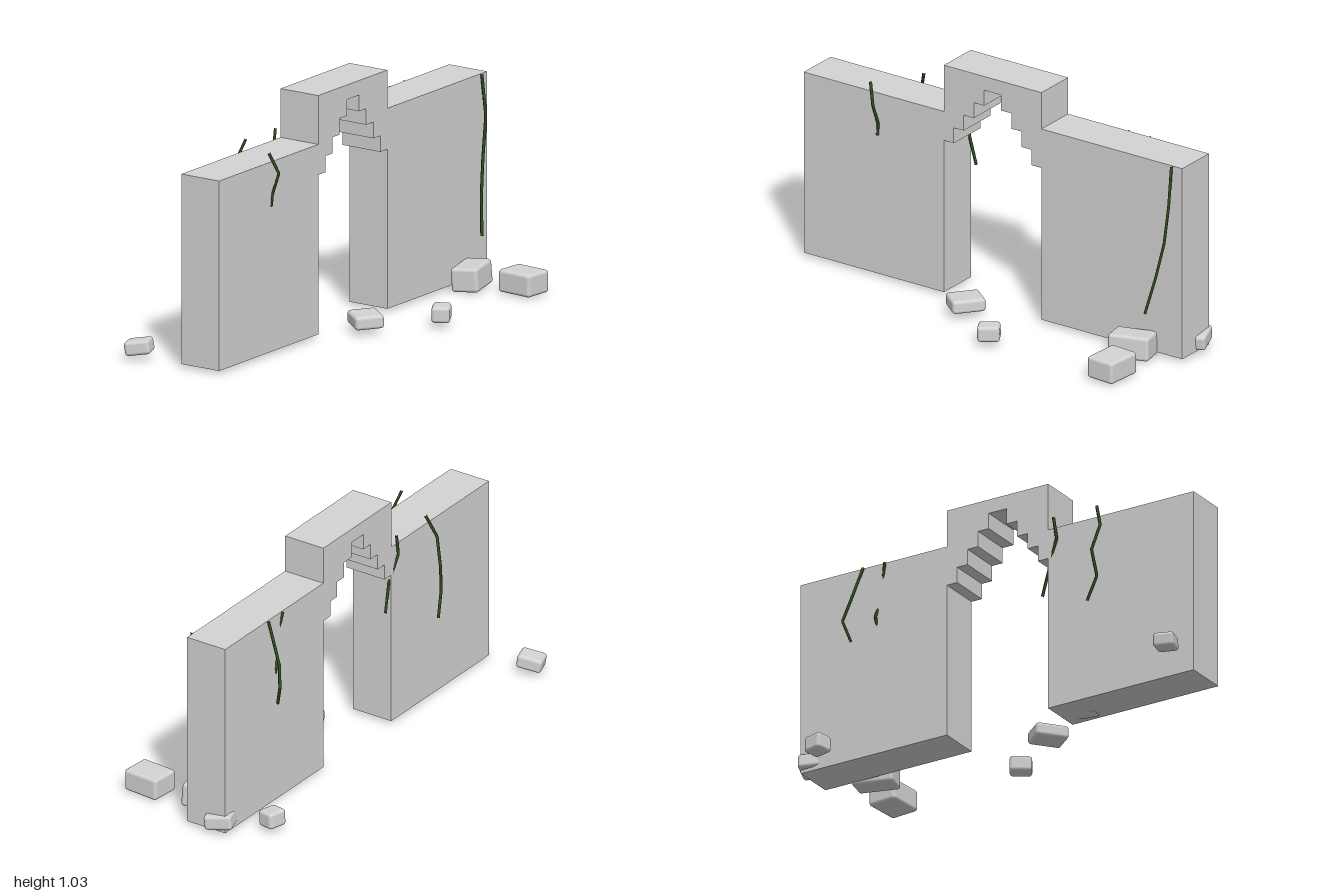
import * as THREE from 'three';
import { RoundedBoxGeometry } from 'three/addons/geometries/RoundedBoxGeometry.js';

const Z_BACK = -0.147, DEPTH = 0.191;

export function createModel() {
  const model = new THREE.Group();
  model.name = 'ruinedArchway';
  const stone = new THREE.MeshStandardMaterial({ color: 0xd3d3d3 });
  stone.name = 'pale grey stone';
  const green = new THREE.MeshStandardMaterial({ color: 0x2f4a1c });
  green.name = 'dark vine green';

  const add = (name, geometry, material) => {
    const mesh = new THREE.Mesh(geometry, material);
    mesh.name = name;
    model.add(mesh);
    return mesh;
  };

  // Two wall slabs of different height
  const wall = (name, x0, x1, top) => {
    const base = 0.02;
    add(name, new THREE.BoxGeometry(x1 - x0, top - base, DEPTH), stone)
      .position.set((x0 + x1) / 2, (top + base) / 2, Z_BACK + DEPTH / 2);
  };
  wall('rightWall', -0.942, -0.235, 0.83);
  wall('leftWall', 0.256, 0.966, 0.875);

  // Corbelled arch: a block with a stepped underside
  const cx = 0.01, half = 0.246, top = 1.038, spring = 0.7, rise = 0.069;
  const steps = [0.196, 0.146, 0.095, 0.043];
  const arch = new THREE.Shape();
  arch.moveTo(cx - half, top);
  arch.lineTo(cx - half, spring);
  steps.forEach((w, i) => {
    arch.lineTo(cx - w, spring + i * rise);
    arch.lineTo(cx - w, spring + (i + 1) * rise);
  });
  [...steps].reverse().forEach((w, k) => {
    const i = steps.length - 1 - k;
    arch.lineTo(cx + w, spring + (i + 1) * rise);
    arch.lineTo(cx + w, spring + i * rise);
  });
  arch.lineTo(cx + half, spring);
  arch.lineTo(cx + half, top);
  add('steppedArch', new THREE.ExtrudeGeometry(arch, { depth: DEPTH, bevelEnabled: false }), stone)
    .position.z = Z_BACK;

  // Fallen stones: centre, size, rotation
  const rocks = [
    [[-0.94, 0.062, -0.361], [0.088, 0.06, 0.108], [-0.17, 0.33, 0]],
    [[-0.05, 0.061, 0.151], [0.123, 0.057, 0.142], [0, -0.69, 0.03]],
    [[0.208, 0.062, 0.35], [0.093, 0.068, 0.077], [0, 0.52, 0.03]],
    [[0.762, 0.061, 0.11], [0.18, 0.102, 0.118], [-0.07, 0.25, 0.02]],
    [[0.817, 0.061, 0.333], [0.133, 0.096, 0.167], [0, -0.08, 0]],
    [[0.937, 0.062, -0.103], [0.1, 0.064, 0.118], [0.13, 0.32, 0]],
    [[0.805, 0.063, -0.271], [0.088, 0.072, 0.078], [0.06, -0.25, 0]],
    [[-0.335, 0.047, -0.005], [0.1, 0.062, 0.06], [0.1, 0.15, 0.02]],
  ];
  rocks.forEach(([p, s, r], i) => {
    const rock = add(`fallenStone${i + 1}`, new RoundedBoxGeometry(...s, 3, 0.014), stone);
    rock.position.set(...p);
    rock.rotation.set(r[0], r[1], r[2], 'YXZ');
  });

  // Hanging vines: jointed thin stems over both faces of the wall
  const vines = [
    [[-0.6, 0.875, 0.052], [-0.568, 0.785, 0.08], [-0.565, 0.69, 0.046], [-0.57, 0.64, 0.043]],
    [[0.917, 0.875, 0.052], [0.917, 0.7, 0.072], [0.895, 0.53, 0.073], [0.864, 0.38, 0.087], [0.828, 0.215, 0.115]],
    [[-0.475, 0.875, -0.152], [-0.512, 0.77, -0.185], [-0.49, 0.65, -0.217], [-0.51, 0.53, -0.207], [-0.47, 0.42, -0.22]],
    [[0.66, 0.875, -0.152], [0.68, 0.7, -0.22], [0.705, 0.61, -0.24], [0.68, 0.52, -0.212]],
    [[-0.265, 0.875, -0.152], [-0.28, 0.78, -0.152], [-0.234, 0.66, -0.135], [-0.203, 0.535, -0.14]],
    [[0.555, 0.875, -0.152], [0.562, 0.835, -0.147], [0.58, 0.73, -0.125], [0.6, 0.64, -0.153], [0.595, 0.58, -0.135]],
  ];
  vines.forEach((points, i) => {
    const path = new THREE.CurvePath();
    const v = points.map((p) => new THREE.Vector3(...p));
    for (let k = 1; k < v.length; k++) path.add(new THREE.LineCurve3(v[k - 1], v[k]));
    add(`vine${i + 1}`, new THREE.TubeGeometry(path, 40, 0.0065, 6), green);
  });

  return model;
}
